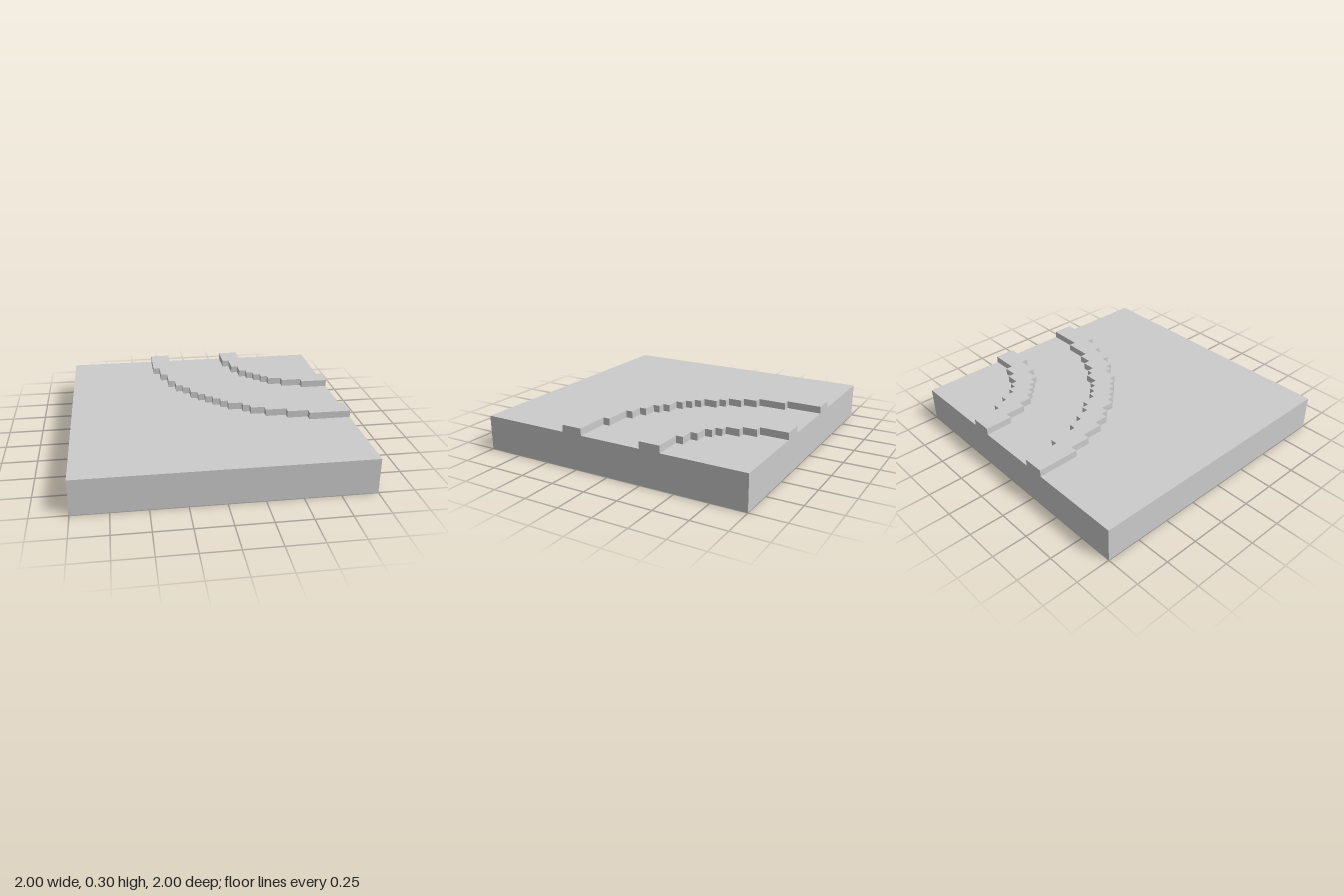
import * as THREE from 'three';

const CELL = 0.05;      // size of one block
const BASE_HEIGHT = 0.25;
const EDGE = 20;        // blocks from the centre to the edge of the tile

// Stepped curve in (x, back) blocks: each column ends at the given step,
// the second half mirrors the first across the diagonal.
function steppedEdge(startX, steps) {
  const half = [];
  let back = EDGE;
  steps.forEach((end, i) => {
    half.push([startX + i, back], [startX + i, end]);
    back = end;
  });
  const [x, b] = half[half.length - 1];
  if (x !== b) half.push([x + 1, b]); // corner on the diagonal
  const mirrored = half.slice(0, -1).reverse().map(([px, pb]) => [pb, px]);
  return [...half, ...mirrored];
}

// Raised strip between two stepped curves
function makeRail(name, outer, inner, material) {
  const points = [...outer, ...inner.reverse()];
  const shape = new THREE.Shape(points.map(([x, b]) => new THREE.Vector2(x * CELL, b * CELL)));
  const geometry = new THREE.ExtrudeGeometry(shape, { depth: CELL, bevelEnabled: false });
  geometry.rotateX(-Math.PI / 2);
  const rail = new THREE.Mesh(geometry, material);
  rail.position.y = BASE_HEIGHT;
  rail.name = name;
  return rail;
}

export function createModel() {
  const group = new THREE.Group();
  group.name = 'curvedTrackTile';
  const material = new THREE.MeshStandardMaterial({ color: 0xcccccc, flatShading: true });

  // Square ground slab
  const base = new THREE.Mesh(new THREE.BoxGeometry(2, BASE_HEIGHT, 2), material);
  base.position.y = BASE_HEIGHT / 2;
  base.name = 'base';
  group.add(base);

  // Two concentric rails around the back left corner
  group.add(makeRail('outerRail',
    steppedEdge(-7, [14, 11, 8, 6, 5, 3, 2, 1]),
    steppedEdge(-4, [15, 11, 9, 7, 6, 4, 3]), material));
  group.add(makeRail('innerRail',
    steppedEdge(5, [16, 13, 11, 10, 9]),
    steppedEdge(8, [16, 14, 12, 11]), material));

  return group;
}
